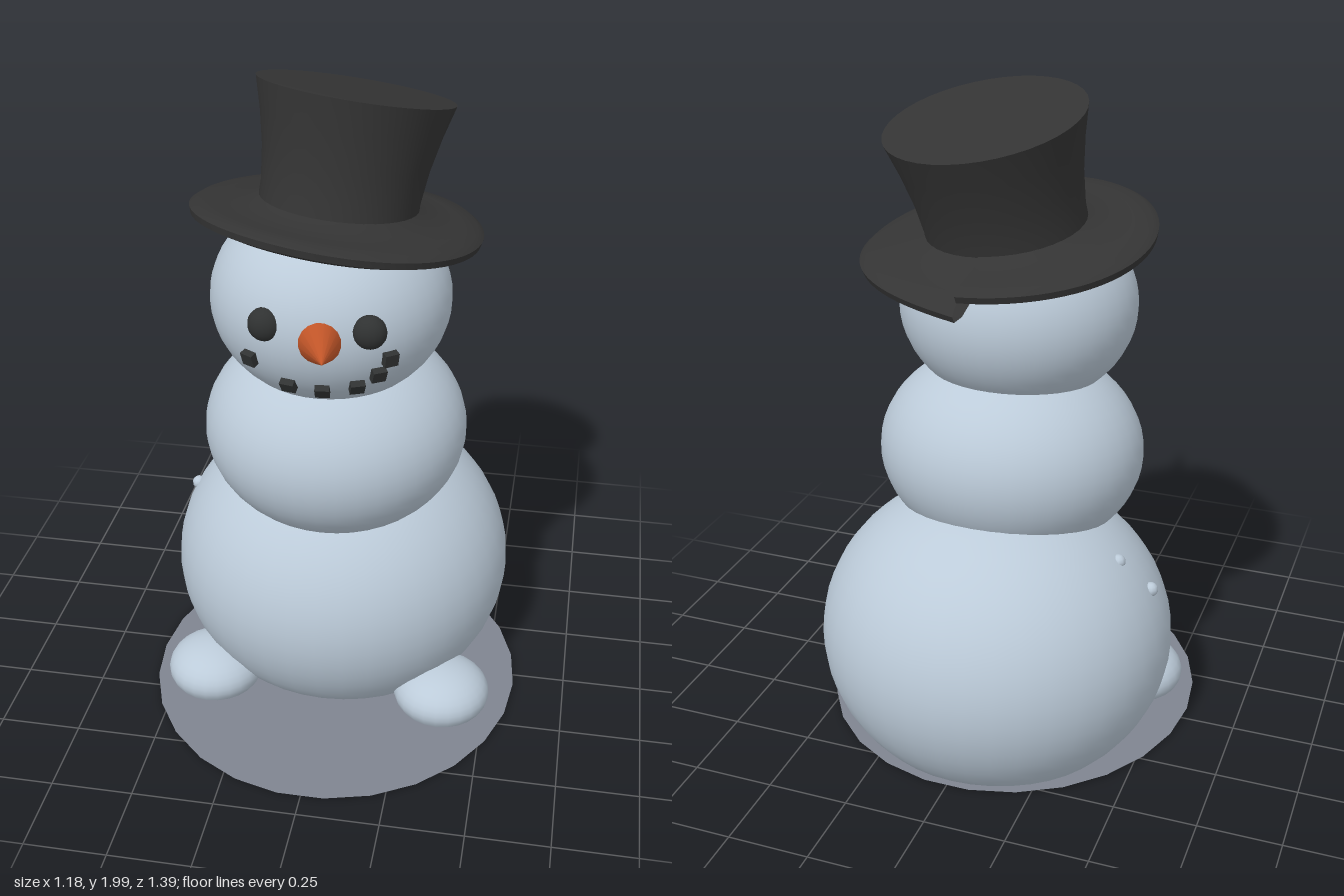
import * as THREE from 'three';
import { toCreasedNormals } from 'three/addons/utils/BufferGeometryUtils.js';

const paint = (name, color, side = THREE.FrontSide) => {
  const m = new THREE.MeshStandardMaterial({ color, side });
  m.name = name;
  return m;
};

export function createModel() {
  const group = new THREE.Group();
  const snow = paint('snow', 0xbccbd9);
  const felt = paint('black felt', 0x343434, THREE.DoubleSide);
  const coal = paint('coal', 0x303232);
  const carrot = paint('carrot orange', 0xcb5a2b);
  const slush = paint('grey slush', 0x7f8490, THREE.DoubleSide);

  const add = (name, geometry, material, parent = group) => {
    const mesh = new THREE.Mesh(geometry, material);
    mesh.name = name;
    parent.add(mesh);
    return mesh;
  };

  // Squashed, pitched ball whose underside is pressed flat on the ground
  const ball = (name, c, r, pitch = 0, material = snow, seg = 40) => {
    const g = new THREE.SphereGeometry(1, seg, Math.round(seg * 0.7));
    g.scale(...r).rotateX(pitch).translate(...c);
    const p = g.attributes.position;
    let pressed = false;
    for (let i = 0; i < p.count; i++) {
      if (p.getY(i) < 0) { p.setY(i, 0); pressed = true; }
    }
    return add(name, pressed ? toCreasedNormals(g, 0.5) : g, material);
  };

  // Stacked snow body
  ball('lowerBody', [-0.015, 0.33, -0.167], [0.545, 0.485, 0.533], 0.08);
  ball('middleBody', [-0.015, 0.895, -0.03], [0.405, 0.32, 0.383], 0.12);
  const headC = [-0.022, 1.35, 0.01], headR = [0.357, 0.305, 0.342];
  ball('head', headC, headR, 0.05);

  // Feet
  ball('rightFoot', [-0.383, 0.045, 0.165], [0.153, 0.095, 0.153], 0, snow, 24);
  ball('leftFoot', [0.363, 0.045, 0.165], [0.153, 0.095, 0.153], 0, snow, 24);

  // Little lumps of snow on the right side
  for (const c of [[-0.5, 0.545, -0.15], [-0.41, 0.65, -0.2]]) {
    ball('snowLump', c, [0.022, 0.022, 0.022], 0, snow, 10);
  }

  // Eyes
  for (const [name, x] of [['rightEye', -0.155], ['leftEye', 0.14]]) {
    ball(name, [x, 1.385, 0.313], [0.049, 0.05, 0.04], 0, coal, 16);
  }

  // Mouth: coals set on the face along a smile
  const smile = [[-0.2, 1.27], [-0.09, 1.2], [0.005, 1.19], [0.1, 1.205], [0.158, 1.245], [0.19, 1.295]];
  for (const [x, y] of smile) {
    const u = (x - headC[0]) / headR[0], v = (y - headC[1]) / headR[1];
    const w = Math.sqrt(1 - u * u - v * v);
    const m = add('mouthCoal', new THREE.BoxGeometry(0.042, 0.04, 0.04), coal);
    m.position.set(x, y, headC[2] + headR[2] * w);
    m.lookAt(x + u / headR[0], y + v / headR[1], m.position.z + w / headR[2]);
  }

  // Carrot nose
  const base = new THREE.Vector3(0, 1.345, 0.31), tip = new THREE.Vector3(0.077, 1.472, 0.69);
  const axis = tip.clone().sub(base);
  const nose = add('nose', new THREE.ConeGeometry(0.066, axis.length(), 16), carrot);
  nose.position.copy(base).addScaledVector(axis, 0.5);
  nose.quaternion.setFromUnitVectors(new THREE.Vector3(0, 1, 0), axis.normalize());

  // Hat
  const hat = new THREE.Group();
  hat.name = 'hat';
  hat.position.set(-0.018, 1.56, -0.06);
  group.add(hat);
  const lathe = (pts, ...rest) => new THREE.LatheGeometry(pts.map(([x, y]) => new THREE.Vector2(x, y)), ...rest);

  const crown = add('hatCrown', toCreasedNormals(lathe(
    [[0.236, -0.03], [0.234, 0.08], [0.245, 0.18], [0.265, 0.28], [0.29, 0.375], [0, 0.378]], 40), 0.6), felt);
  crown.rotation.set(-0.21, 0, -0.12);
  hat.add(crown);

  // Brim: wavy disc whose overlapping end droops at the back
  const profile = [[0, -0.02], [0.25, -0.025], [0.38, -0.025], [0.425, -0.008], [0.43, 0.012], [0.41, 0.026], [0.36, 0.028], [0.27, 0.035], [0.22, 0.06]];
  const steps = 72;
  const g = lathe(profile, steps, -Math.PI, Math.PI * 2 + 0.08);
  const p = g.attributes.position;
  for (let i = 0; i < p.count; i++) {
    const t = Math.floor(i / profile.length) / steps;
    const edge = Math.max(0, profile[i % profile.length][0] - 0.22) / 0.21;
    const flap = edge * Math.exp(-(1 - t) * 11);
    const phi = -Math.PI + t * Math.PI * 2;
    const k = 1 + 0.07 * flap;
    p.setXYZ(i, p.getX(i) * k, p.getY(i) - 0.045 * flap + 0.012 * edge * Math.cos(2 * phi + 0.8), p.getZ(i) * k);
  }
  const brim = add('hatBrim', toCreasedNormals(g, 0.9), felt, hat);
  brim.rotation.set(-0.12, 0, -0.085);

  // Slush patch on the ground
  const patch = add('groundPatch', new THREE.CircleGeometry(1, 26), slush);
  patch.scale.set(0.588, 0.63, 1);
  patch.rotation.x = -Math.PI / 2;
  patch.position.set(0, 0.004, 0.05);

  return group;
}
